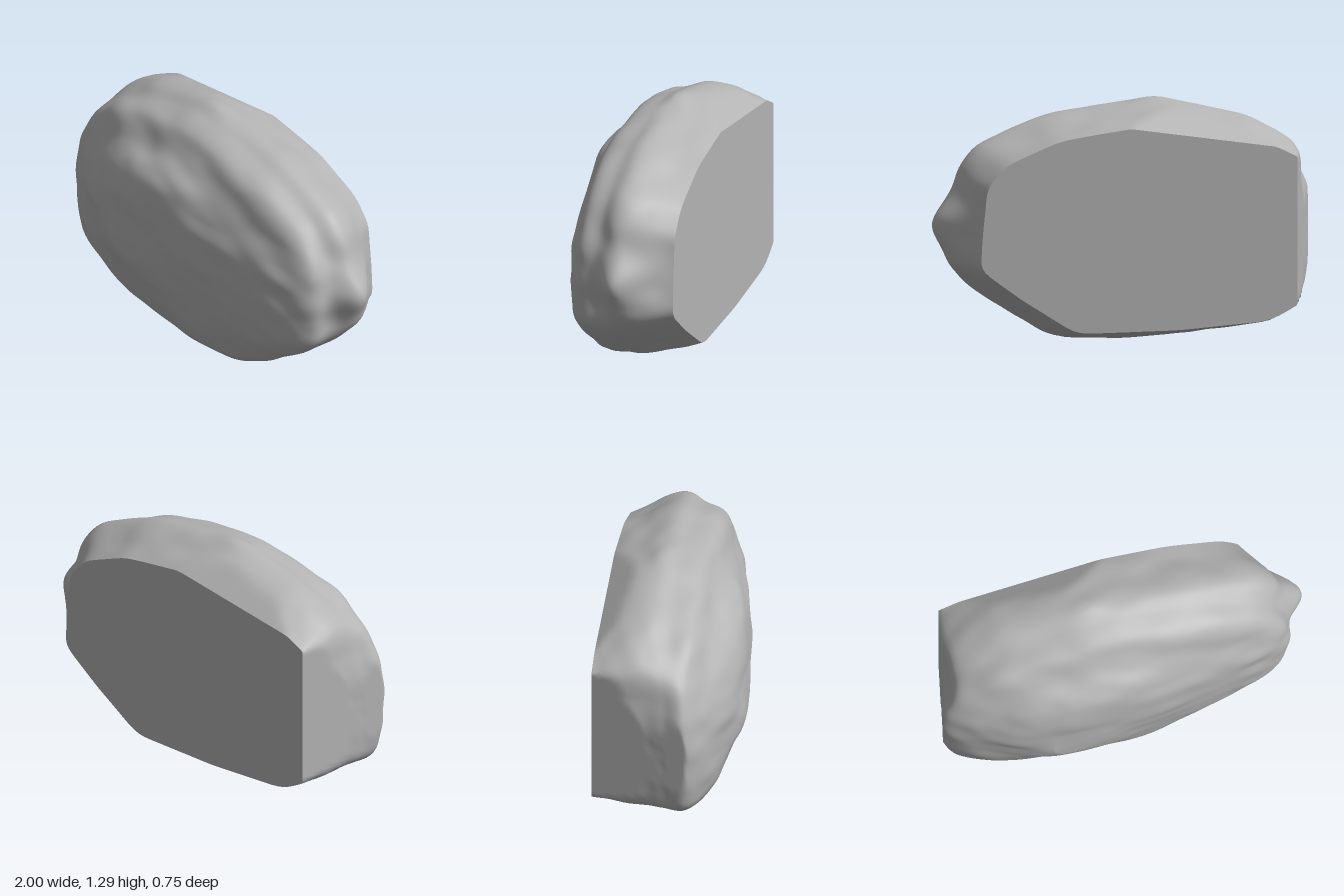
import * as THREE from 'three';

const BACK = -0.375, SIDES = 160, STEPS = 9;

// Boulder outline as u,v pairs inside a unit box
const outline = [0.99, 0.51, 0.98, 0.7, 0.92, 0.81, 0.76, 0.92, 0.41, 1, 0.2, 0.94, 0.03, 0.81,
  0, 0.55, 0, 0.17, 0.13, 0.05, 0.41, 0.01, 0.71, 0, 0.87, 0.16, 1, 0.31];

// Box the outline fills at each depth, back to front, and how oval it becomes
const sections = {
  z: [BACK, -0.13, 0, 0.12, 0.21, 0.29, 0.34, 0.365],
  left: [-0.98, -0.96, -0.98, -1.01, -0.9, -0.71, -0.56, -0.46],
  right: [0.77, 0.91, 0.88, 0.86, 0.66, 0.29, 0.07, -0.2],
  bottom: [0.09, 0.03, 0, 0, 0.06, 0.2, 0.34, 0.45],
  top: [1.2, 1.29, 1.26, 1.21, 1.09, 1.01, 0.89, 0.68],
  oval: [0, 0, 0.2, 0.55, 0.75, 0.9, 1, 1],
};

// Distance from the box centre to the outline along one angle
function reach(angle) {
  const dx = Math.cos(angle), dy = Math.sin(angle);
  let best = 0;
  for (let i = 0; i < outline.length; i += 2) {
    const k = (i + 2) % outline.length;
    const ax = outline[i] - 0.5, ay = outline[i + 1] - 0.5;
    const ex = outline[k] - outline[i], ey = outline[k + 1] - outline[i + 1];
    const det = dx * ey - dy * ex;
    if (Math.abs(det) < 1e-9) continue;
    const t = (ax * ey - ay * ex) / det, s = (ax * dy - ay * dx) / det;
    if (s >= -1e-6 && s <= 1 + 1e-6) best = Math.max(best, t);
  }
  return best;
}

// Smooth value noise in -1..1
function hash(x, y, z) {
  const s = Math.sin(x * 127.1 + y * 311.7 + z * 74.7) * 43758.5453;
  return (s - Math.floor(s)) * 2 - 1;
}
function noise(x, y, z) {
  const f = [x, y, z].map(Math.floor);
  const [u, v, w] = [x - f[0], y - f[1], z - f[2]].map((t) => t * t * (3 - 2 * t));
  let sum = 0;
  for (let i = 0; i < 8; i++) {
    const a = i & 1, b = (i >> 1) & 1, c = i >> 2;
    sum += hash(f[0] + a, f[1] + b, f[2] + c) * (a ? u : 1 - u) * (b ? v : 1 - v) * (c ? w : 1 - w);
  }
  return sum;
}

// Smooth curve through a list of values
function spline(values, t) {
  const i = Math.min(Math.floor(t), values.length - 2), f = t - i;
  const at = (k) => values[Math.max(0, Math.min(values.length - 1, k))];
  const [a, b, c, d] = [at(i - 1), at(i), at(i + 1), at(i + 2)];
  return b + 0.5 * f * (c - a + f * (2 * a - 5 * b + 4 * c - d + f * (3 * (b - c) + d - a)));
}

function makeGeometry(position, index) {
  const g = new THREE.BufferGeometry();
  g.setAttribute('position', new THREE.Float32BufferAttribute(position, 3));
  g.setIndex(index);
  g.computeVertexNormals();
  return g;
}

// Rings of the outline, swept from the back rim to a closed front
function buildShell() {
  const angles = Array.from({ length: SIDES }, (_, j) => (j / SIDES) * Math.PI * 2);
  let radii = angles.map(reach);
  for (let k = 0; k < 3; k++) {
    radii = radii.map((v, j) => (radii[(j + SIDES - 1) % SIDES] + 2 * v + radii[(j + 1) % SIDES]) / 4);
  }
  const rows = (sections.z.length - 1) * STEPS, position = [], index = [];
  for (let i = 0; i <= rows; i++) {
    const [z, left, right, bottom, top, oval] = Object.values(sections).map((list) => spline(list, i / STEPS));
    for (let j = 0; j < SIDES; j++) {
      const c = Math.cos(angles[j]), s = Math.sin(angles[j]);
      const r = THREE.MathUtils.lerp(radii[j], 0.5, oval * (0.75 + 0.25 * s));
      position.push(left + (right - left) * (0.5 + r * c), bottom + (top - bottom) * (0.5 + r * s), z);
      const n = (j + 1) % SIDES, p = i * SIDES;
      if (i < rows) index.push(p + j, p + n, p + SIDES + n, p + j, p + SIDES + n, p + SIDES + j);
      else index.push(p + j, p + n, (rows + 1) * SIDES);
    }
  }
  position.push(-0.34, 0.56, 0.37);
  return makeGeometry(position, index);
}

// Weathered relief and a side nub, trimmed by flat split faces
function weather(g) {
  const pos = g.attributes.position, nor = g.attributes.normal;
  for (let i = 0; i < pos.count; i++) {
    let x = pos.getX(i), y = pos.getY(i), z = pos.getZ(i);
    const slant = y + 0.15 * x;
    const relief = 0.016 * noise(x * 2.4 + 5, slant * 5, z * 5 + 2) + 0.008 * noise(x * 6, slant * 11 + 3, z * 10);
    const amount = relief * THREE.MathUtils.smoothstep(z, BACK - 0.04, BACK + 0.12);
    const nub = x > 0.5 ? 0.1 * Math.exp(-((y - 0.64) ** 2 + (z + 0.13) ** 2) / 0.018) : 0;
    x += nor.getX(i) * amount + nub;
    y += nor.getY(i) * amount;
    z = i < SIDES ? BACK : THREE.MathUtils.clamp(z + nor.getZ(i) * amount, BACK, -BACK);
    // slanted left end, sloping underside and upper back facet
    x = THREE.MathUtils.clamp(x, Math.max(-1, -0.97 - 0.215 * z), 1);
    y = Math.min(y, 1.29, 1.17 + 0.14 * x + 0.8 * (z - BACK));
    y = Math.max(y, -0.24 * z + 0.08 * Math.max(0, -0.2 - x), 0);
    pos.setXYZ(i, x, y, z);
  }
  g.computeVertexNormals();
  return g;
}

export function createModel() {
  const stone = new THREE.MeshStandardMaterial({ color: 0xb4b4b4 });
  stone.name = 'grey stone';
  const group = new THREE.Group();
  group.name = 'rock';

  const shell = weather(buildShell());

  // Flat split face at the back
  const rim = shell.attributes.position.array.slice(0, SIDES * 3), fan = [];
  for (let j = 0; j < SIDES; j++) fan.push(SIDES, (j + 1) % SIDES, j);
  const back = makeGeometry([...rim, 0, 0.62, BACK], fan);

  for (const [name, geometry] of [['weatheredShell', shell], ['flatBackFace', back]]) {
    const mesh = new THREE.Mesh(geometry, stone);
    mesh.name = name;
    group.add(mesh);
  }
  return group;
}
